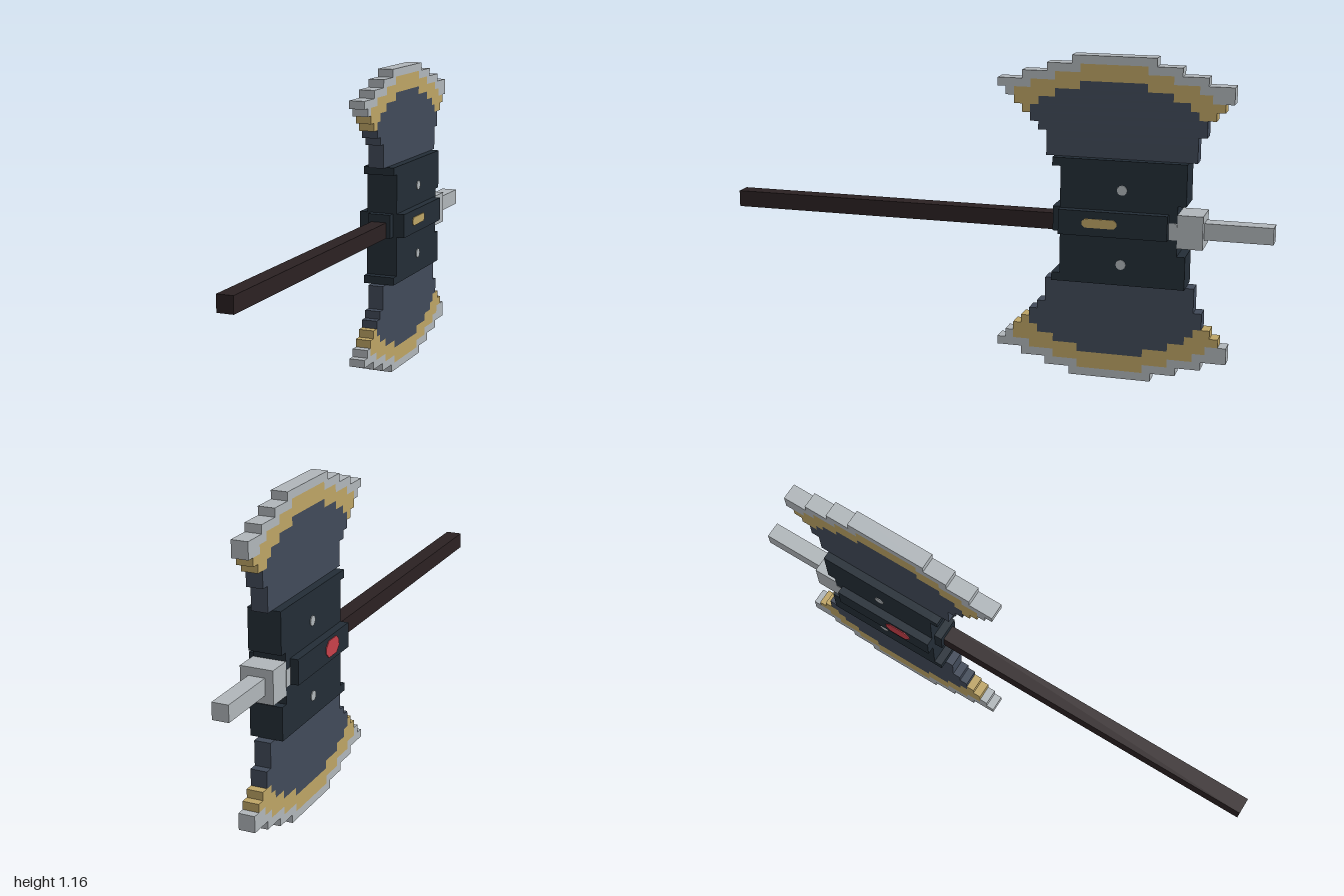
import * as THREE from 'three';
import { mergeGeometries } from 'three/addons/utils/BufferGeometryUtils.js';

// Everything sits on a grid of 67 cells along the shaft
const U = 2 / 67;
const MID = 39;   // twice the mirror height, in cells

const material = (name, color) => {
  const m = new THREE.MeshStandardMaterial({ color });
  m.name = name;
  return m;
};

// Box from cell bounds: x is +-half, y0..y1 up, k0..k1 from the back end
function cellBox(half, y0, y1, k0, k1) {
  const g = new THREE.BoxGeometry(2 * half * U, (y1 - y0) * U, (k1 - k0) * U);
  return g.translate(0, (y0 + y1) / 2 * U, -1 + (k0 + k1) / 2 * U);
}

// Blade rows from the edge inwards: [height, steel, gold, blue spans along z]
const BLADE = [
  [38, [14, 24]],
  [37, [11, 27], [15, 23]],
  [36, [8, 30], [12, 26]],
  [35, [5, 33], [9, 29], [15, 23]],
  [34, [5, 32], [7.5, 31], [12, 26]],
  [33, null, [6, 31], [10, 28]],
  [32, null, [7, 30], [9, 29]],
  [31, null, null, [8, 29]],
  [30, null, null, [8, 28]],
  [29, null, null, [9, 27]],
  [28, null, null, [9, 27]],
  [27, null, null, [9, 27]],
];

export function createModel() {
  const group = new THREE.Group();
  const steel = material('steel', 0xb0b6ba);
  const gold = material('gold', 0xbda465);
  const blue = material('slateBlue', 0x414a59);
  const iron = material('darkIron', 0x232d36);
  const wood = material('darkWood', 0x2b2122);
  const red = material('red', 0xc8404a);

  const add = (name, mat, geometries) => {
    const mesh = new THREE.Mesh(mergeGeometries(geometries), mat);
    mesh.name = name;
    group.add(mesh);
  };

  // Two mirrored blades, each row split into bands of colour
  for (const side of ['upper', 'lower']) {
    const bands = [[], [], []];
    for (const [row, ...spans] of BLADE) {
      const y = side === 'upper' ? row : MID - row - 1;
      spans.forEach((span, i) => {
        if (!span) return;
        const inner = spans[i + 1];
        const parts = inner ? [[span[0], inner[0]], [inner[1], span[1]]] : [span];
        for (const [a, b] of parts) if (b > a) bands[i].push(cellBox(1, y, y + 1, a, b));
      });
    }
    add(side + 'BladeEdge', steel, bands[0]);
    add(side + 'BladeBand', gold, bands[1]);
    add(side + 'BladeBody', blue, bands[2]);
  }

  // Head block: notched at the back, with lips on the front corners
  add('headBlock', iron, [
    cellBox(2, 12, 16, 10, 25), cellBox(2, 16, 22, 11, 25), cellBox(2, 22, 27, 10, 25),
    cellBox(2, 12, 13, 25, 26), cellBox(2, 26, 27, 25, 26),
  ]);
  add('sidePlates', iron, [cellBox(3, 18, 21, 12, 25)]);
  add('socket', iron, [cellBox(1.5, 18, 21, 25, 26)]);

  // Shaft and rear spike with its collar
  add('handle', wood, [cellBox(1, 18, 20, 25, 67)]);
  add('spike', steel, [cellBox(1, 18, 20, 0, 8)]);
  add('spikeCollar', steel, [cellBox(2, 17, 21, 8, 11), cellBox(2.05, 18, 20, 11, 12)]);

  // Rivets on both faces of the block
  const rivets = [];
  for (const s of [-1, 1]) for (const y of [0.702, 0.434]) {
    rivets.push(new THREE.CylinderGeometry(0.018, 0.018, 0.006, 12)
      .rotateZ(Math.PI / 2).translate(s * 2 * U, y, -0.475));
  }
  add('rivets', steel, rivets);

  // Thin inlay with clipped corners, centred on a side plate
  const inlay = (w, h, c, x, z) => {
    const a = w / 2, b = h / 2;
    const shape = new THREE.Shape([
      [-a, -b + c], [-a + c, -b], [a - c, -b], [a, -b + c],
      [a, b - c], [a - c, b], [-a + c, b], [-a, b - c],
    ].map(p => new THREE.Vector2(...p)));
    return new THREE.ExtrudeGeometry(shape, { depth: 0.006, bevelEnabled: false })
      .translate(0, 0, -0.003).rotateY(Math.PI / 2).translate(x, 0.584, z);
  };
  add('goldInlay', gold, [inlay(0.124, 0.032, 0.01, 3 * U, -0.402)]);
  add('redInlay', red, [inlay(0.1, 0.06, 0.02, -3 * U, -0.385)]);

  return group;
}
